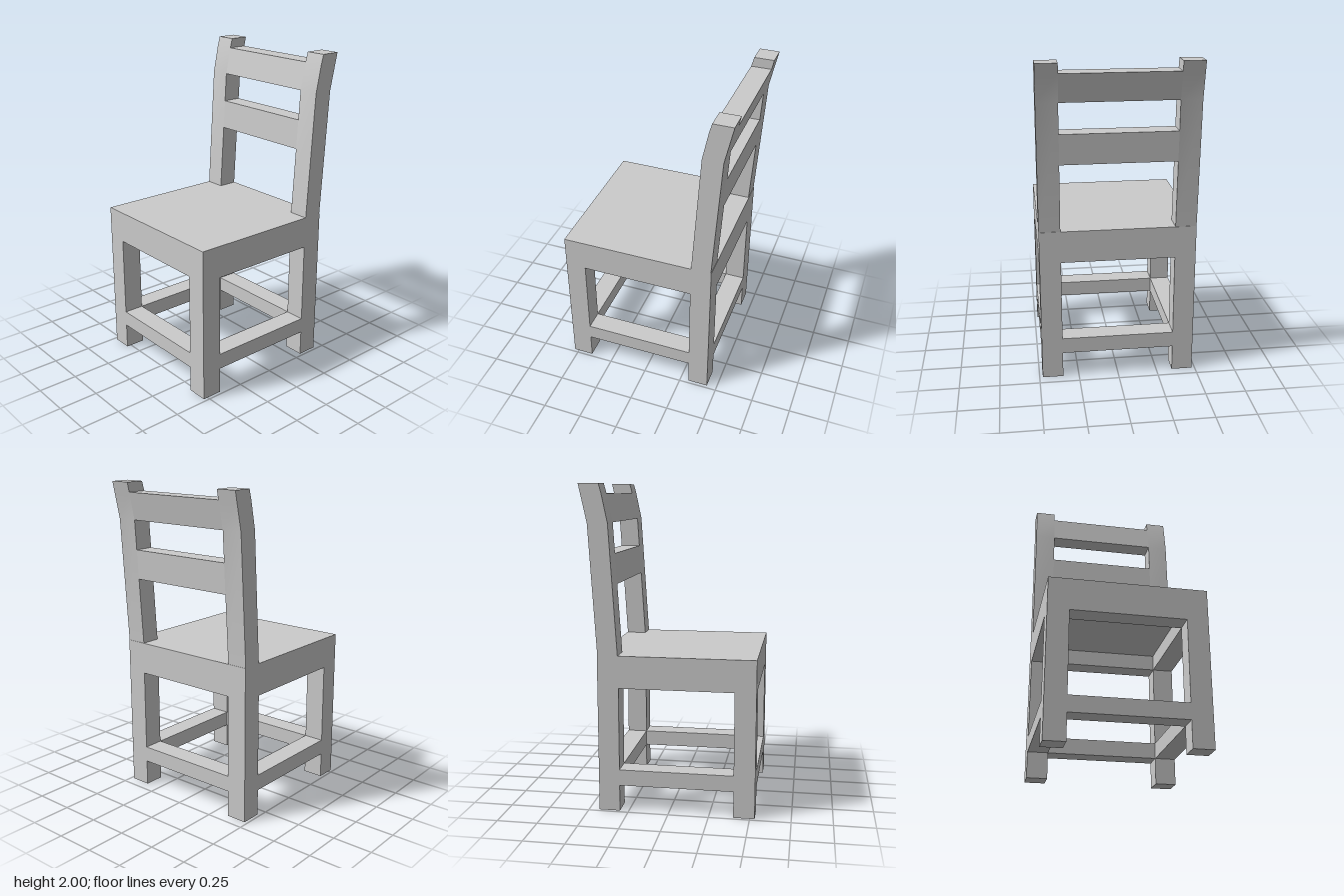
import * as THREE from 'three';
import { toCreasedNormals } from 'three/addons/utils/BufferGeometryUtils.js';

const W = 0.48;                    // half width
const T = 0.13;                    // thickness of legs, rails and posts
const FRONT = 0.53, BACK = -0.435; // outer depth limits of the seat
const SEAT_TOP = 0.98, SEAT_LOW = 0.88, APRON_LOW = 0.78;

// Centre line of the back as [height, front z, rear z]
const CURVE = [
  [SEAT_TOP, -0.308, -0.432],
  [1.77, -0.356, -0.48],
  [1.94, -0.391, -0.517],
  [2.0, -0.407, -0.53],
];

function curveAt(y) {
  let i = 0;
  while (i < CURVE.length - 2 && y > CURVE[i + 1][0]) i++;
  const a = CURVE[i], b = CURVE[i + 1];
  const t = (y - a[0]) / (b[0] - a[0]);
  return [y, a[1] + (b[1] - a[1]) * t, a[2] + (b[2] - a[2]) * t];
}

export function createModel() {
  const group = new THREE.Group();
  const material = new THREE.MeshStandardMaterial({ color: 0xcccccc });

  function add(name, geometry) {
    const mesh = new THREE.Mesh(geometry, material);
    mesh.name = name;
    group.add(mesh);
  }

  // Box given by its limits on each axis
  function box(name, x0, x1, y0, y1, z0, z1) {
    const g = new THREE.BoxGeometry(x1 - x0, y1 - y0, z1 - z0);
    g.translate((x0 + x1) / 2, (y0 + y1) / 2, (z0 + z1) / 2);
    add(name, g);
  }

  // Slice of the curved back between two heights, extruded sideways
  function backPiece(name, x0, x1, y0, y1) {
    const inner = CURVE.filter(([y]) => y > y0 && y < y1);
    const rows = [curveAt(y0), ...inner, curveAt(y1)];
    const outline = [
      ...rows.map(([y, f]) => new THREE.Vector2(f, y)),
      ...rows.reverse().map(([y, , r]) => new THREE.Vector2(r, y)),
    ];
    const g = new THREE.ExtrudeGeometry(new THREE.Shape(outline), { depth: x1 - x0, bevelEnabled: false });
    g.rotateY(-Math.PI / 2);
    g.translate(x1, 0, 0);
    add(name, toCreasedNormals(g, Math.PI / 6));
  }

  // Seat board
  box('seat', -W, W, SEAT_LOW, SEAT_TOP, BACK, FRONT);

  // Legs, side rails and back posts
  for (const [side, x0, x1] of [['left', W - T, W], ['right', -W, T - W]]) {
    box(`${side}FrontLeg`, x0, x1, 0, SEAT_LOW, FRONT - T, FRONT);
    box(`${side}BackLeg`, x0, x1, 0, SEAT_LOW, BACK, BACK + T);
    box(`${side}Apron`, x0, x1, APRON_LOW, SEAT_LOW, BACK + T, FRONT - T);
    box(`${side}Stretcher`, x0, x1, 0.165, 0.265, BACK + T, FRONT - T);
    backPiece(`${side}BackPost`, x0, x1, SEAT_TOP, 2);
  }

  // Front and back rails
  for (const [end, z0, z1] of [['front', FRONT - T, FRONT], ['back', BACK, BACK + T]]) {
    box(`${end}Apron`, T - W, W - T, APRON_LOW, SEAT_LOW, z0, z1);
    box(`${end}Stretcher`, T - W, W - T, 0.165, 0.265, z0, z1);
  }

  // Slats of the back
  backPiece('lowerSlat', T - W, W - T, 1.4, 1.585);
  backPiece('topSlat', T - W, W - T, 1.77, 1.94);

  return group;
}
